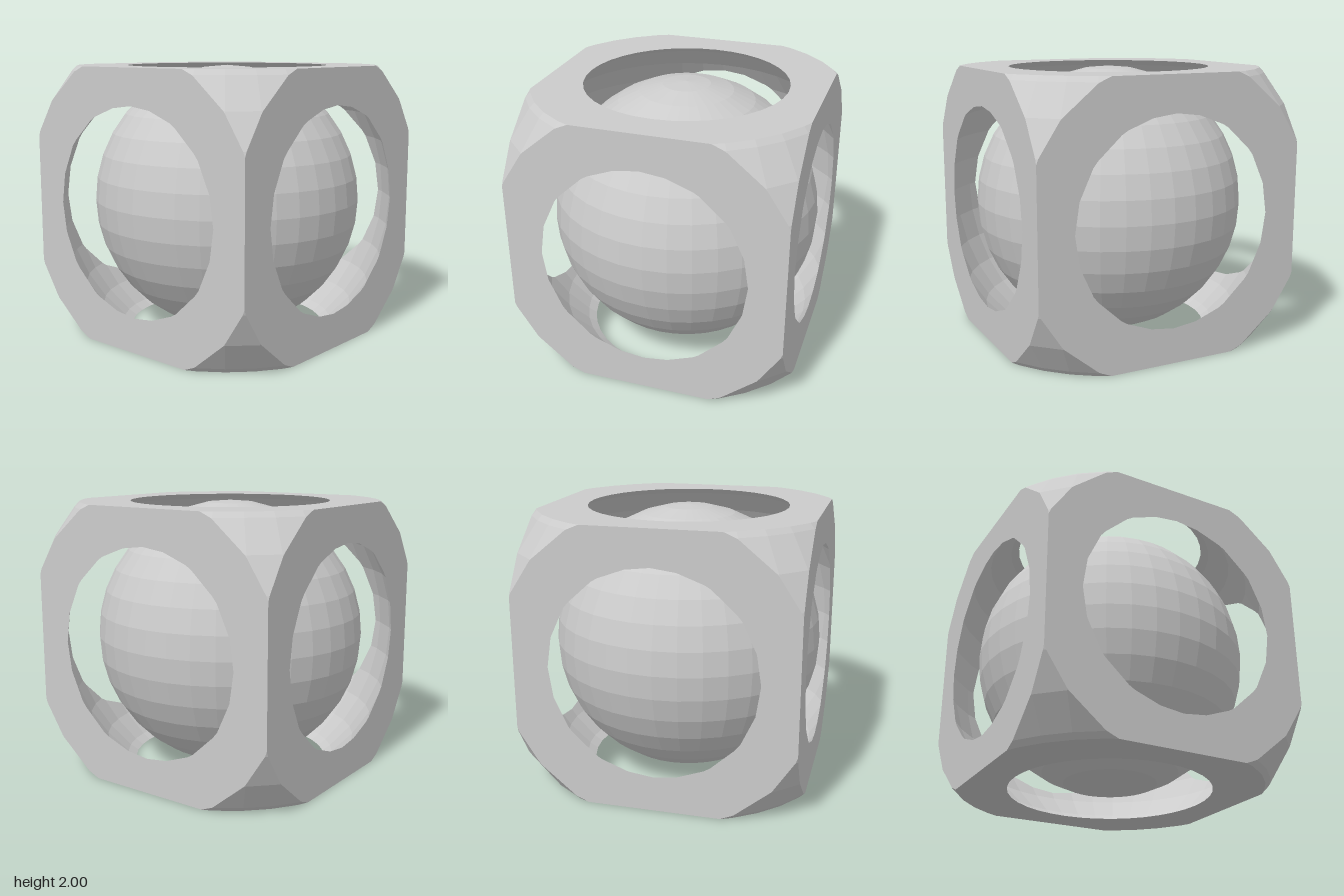
import * as THREE from 'three';

const grey = new THREE.MeshStandardMaterial({ color: 0xcccccc, flatShading: true });

function facetedSphere(radius) {
  return new THREE.SphereGeometry(radius, 36, 18).toNonIndexed();
}

// Cuts a convex polygon to the half-space sign * p[axis] <= 1
function cut(poly, axis, sign) {
  const out = [];
  poly.forEach((p, i) => {
    const q = poly[(i + 1) % poly.length];
    const dp = sign * p[axis] - 1, dq = sign * q[axis] - 1;
    if (dp <= 0) out.push(p);
    if ((dp < 0 && dq > 0) || (dp > 0 && dq < 0)) {
      const t = dp / (dp - dq);
      const r = p.map((c, k) => c + (q[k] - c) * t);
      r[axis] = sign;
      out.push(r);
    }
  });
  return out;
}

// Parts of a faceted sphere that lie within the cube, as polygons
function sphereInCube(radius) {
  const a = facetedSphere(radius).attributes.position;
  const polys = [];
  for (let i = 0; i < a.count; i += 3) {
    let poly = [0, 1, 2].map(k => [a.getX(i + k), a.getY(i + k), a.getZ(i + k)]);
    for (let axis = 0; axis < 3; axis++)
      for (const sign of [1, -1]) poly = cut(poly, axis, sign);
    if (poly.length > 2) polys.push(poly);
  }
  return polys;
}

function meshFrom(name, coords) {
  const geo = new THREE.BufferGeometry();
  geo.setAttribute('position', new THREE.Float32BufferAttribute(coords, 3));
  geo.computeVertexNormals();
  const mesh = new THREE.Mesh(geo, grey);
  mesh.name = name;
  return mesh;
}

function polygonMesh(name, polys, inward) {
  const coords = [];
  for (const p of polys)
    for (let i = 1; i < p.length - 1; i++)
      coords.push(...p[0], ...(inward ? p[i + 1] : p[i]), ...(inward ? p[i] : p[i + 1]));
  return meshFrom(name, coords);
}

// Convex outline of the polygon points lying on one cube face
function outline(polys, axis, sign) {
  const found = new Map();
  for (const p of polys.flat()) {
    if (Math.abs(p[axis] - sign) > 1e-6) continue;
    const u = p[(axis + 1) % 3], v = p[(axis + 2) % 3];
    found.set(`${Math.round(u * 1e4)},${Math.round(v * 1e4)}`, new THREE.Vector2(u, v));
  }
  return [...found.values()].sort((p, q) => Math.atan2(p.y, p.x) - Math.atan2(q.y, q.x));
}

// Flat cube face with its round opening
function faceMesh(name, outer, inner, axis, sign) {
  const shape = new THREE.Shape(outline(outer, axis, sign));
  shape.holes.push(new THREE.Path(outline(inner, axis, sign)));
  const flat = new THREE.ShapeGeometry(shape).toNonIndexed().attributes.position;
  const coords = [];
  for (let i = 0; i < flat.count; i += 3) {
    for (const k of sign > 0 ? [0, 1, 2] : [0, 2, 1]) {
      const p = [0, 0, 0];
      p[axis] = sign;
      p[(axis + 1) % 3] = flat.getX(i + k);
      p[(axis + 2) % 3] = flat.getY(i + k);
      coords.push(...p);
    }
  }
  return meshFrom(name, coords);
}

export function createModel() {
  const model = new THREE.Group();
  model.name = 'ballInCage';

  // Cage: cube with rounded-off corners, hollowed by a smaller sphere
  const cage = new THREE.Group();
  cage.name = 'cage';
  const outer = sphereInCube(1.5);
  const inner = sphereInCube(1.25);
  cage.add(polygonMesh('roundedCorners', outer, false));
  cage.add(polygonMesh('hollowInside', inner, true));
  const names = [['leftFace', 'rightFace'], ['topFace', 'bottomFace'], ['frontFace', 'backFace']];
  names.forEach((pair, axis) => pair.forEach((name, i) =>
    cage.add(faceMesh(name, outer, inner, axis, i ? -1 : 1))));
  model.add(cage);

  // Loose ball inside the cage
  const ball = new THREE.Mesh(facetedSphere(1), grey);
  ball.name = 'ball';
  model.add(ball);

  model.children.forEach(part => { part.position.y = 1; });
  return model;
}
